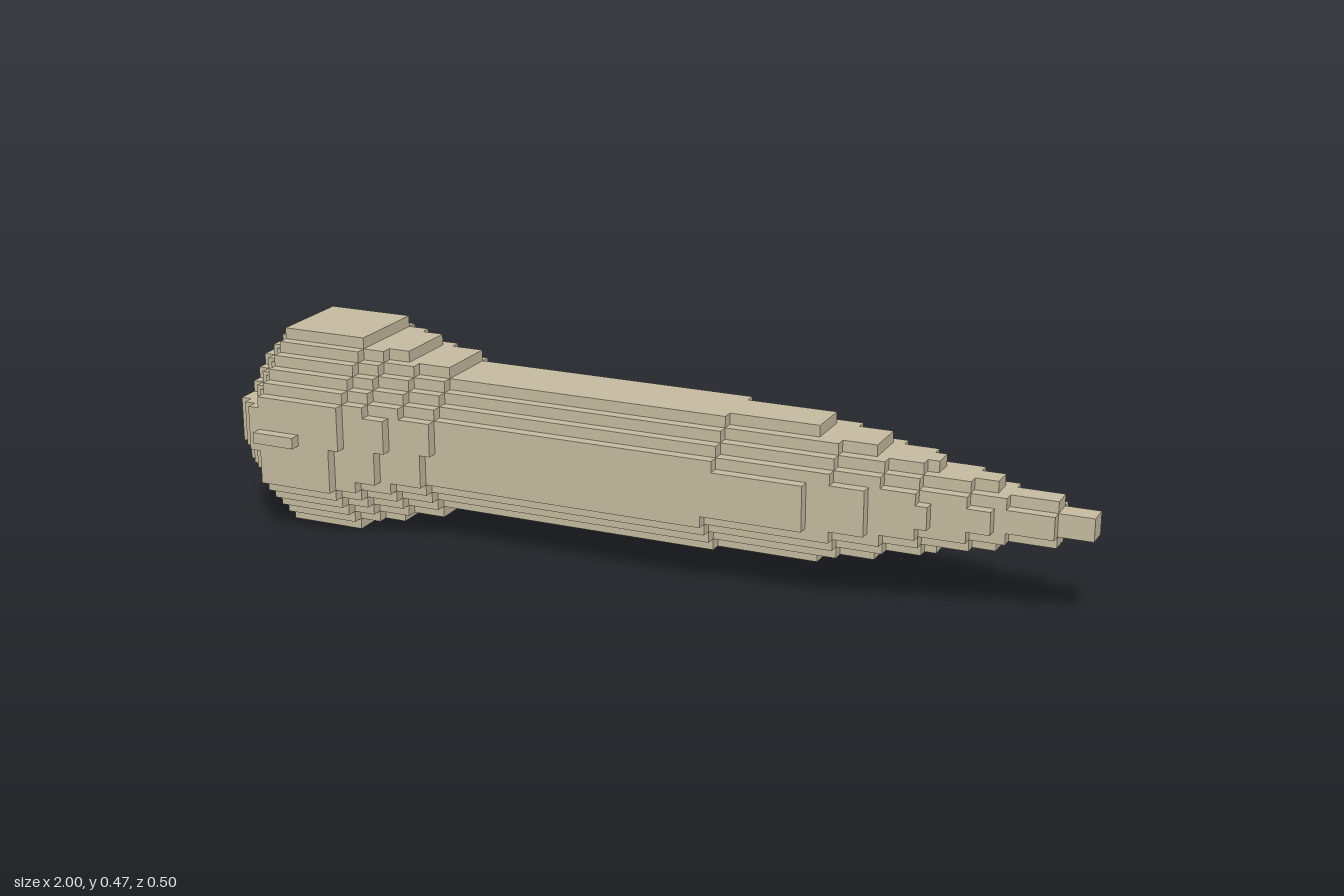
import * as THREE from 'three';
import { mergeGeometries } from 'three/addons/utils/BufferGeometryUtils.js';

const U = 2 / 76; // edge of one block; the model is 76 blocks long

// Octagon radius, in blocks, at block column i along x
function radiusAt(i) {
  if (i < 3) return [5.7, 6.5, 7.5][i];      // rounded butt
  if (i <= 10) return 8.5;                   // full head
  if (i <= 18) return 8.5 - (i - 10) / 4;    // neck flare
  if (i <= 44) return 5.7;                   // shaft
  if (i <= 52) return 5.5;                   // slimmer end of the shaft
  return 5.5 - (i - 52) / 5;                 // point
}

// Half width of an octagonal slice in blocks, for row offset d from the axis
function halfWidth(i, d) {
  // the lower half steps down one block sooner
  const r = radiusAt(d < 0 && i >= 3 && i <= 44 ? i + 1 : i);
  if (Math.abs(d) > r + 1e-6) return 0;
  return Math.max(0, Math.floor(Math.min(r, r * Math.SQRT2 - Math.abs(d)) + 0.5 + 1e-6));
}

// Box in block units: x from the butt, y from the ground, z from the axis
function block(x0, x1, y0, y1, z0, z1) {
  const g = new THREE.BoxGeometry((x1 - x0) * U, (y1 - y0) * U, (z1 - z0) * U);
  g.translate(-1 + (x0 + x1) / 2 * U, (y0 + y1) / 2 * U, ((z0 + z1) / 2 - 0.5) * U);
  return g;
}

// Each row becomes a few long boxes, one for every run of equal width
function steppedRows(from, to) {
  const boxes = [];
  for (let row = 0; row < 18; row++) {
    const d = row - 8.5;
    let start = from;
    for (let i = from + 1; i <= to; i++) {
      const w = halfWidth(start, d);
      if (i < to && halfWidth(i, d) === w) continue;
      if (w > 0) boxes.push(block(start, i, row, row + 1, -w, w));
      start = i;
    }
  }
  return boxes;
}

export function createModel() {
  const group = new THREE.Group();
  const tan = new THREE.MeshStandardMaterial({ color: 0xc4ba9f });
  tan.name = 'tan';

  const add = (name, boxes) => {
    const mesh = new THREE.Mesh(mergeGeometries(boxes), tan);
    mesh.name = name;
    group.add(mesh);
  };

  add('head', steppedRows(0, 11));
  add('neck', steppedRows(11, 19));
  add('shaft', steppedRows(19, 53));
  add('point', steppedRows(53, 76));

  // Small ridge on the front of the head, and the steps leading up to it
  add('ridge', [block(3, 7, 9, 10, 8, 10)]);
  add('buttSteps', [0, 1, 2].map(i => block(i, i + 1, 8, 12, 0, 7 + i)));

  return group;
}
